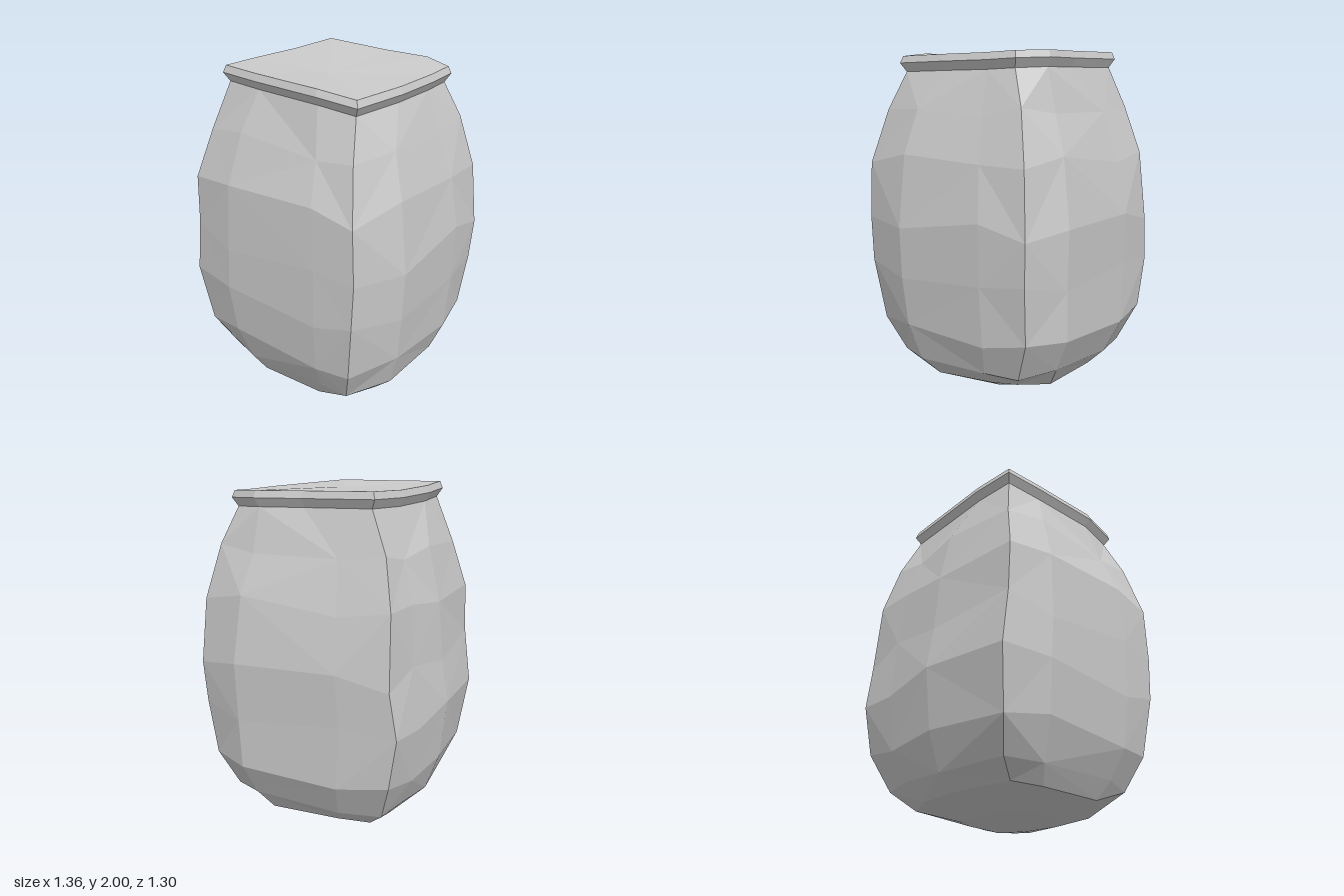
import * as THREE from 'three';

// How far each corner is pulled in from the sides [x, z]
const CORNER = {
  rightFront: [0.06, 0.055], leftFront: [0.11, 0.04],
  leftBack: [0.065, 0.095], rightBack: [0.05, 0.055],
};

// A ring is an uneven rounded square of 12 points, given as
// [y, right edge, left edge, back edge, front edge, corner amount].
function ringPoints([y, l, r, b, f, c], wobble, seed) {
  const { rightFront, leftFront, leftBack, rightBack } = CORNER;
  const flat = [
    [l + c * rightFront[0], f - c * rightFront[1]], [l * 0.47, f], [r * 0.48, f * 0.98],
    [r - c * leftFront[0], f - c * leftFront[1]], [r, f * 0.43], [r * 0.97, b * 0.43],
    [r - c * leftBack[0], b + c * leftBack[1]], [r * 0.5, b], [l * 0.45, b * 0.975],
    [l + c * rightBack[0], b + c * rightBack[1]], [l * 0.96, b * 0.5], [l, f * 0.08],
  ];
  return flat.map(([x, z], i) => {
    const lift = wobble * Math.sin(i * 2.4 + seed * 1.7);
    return new THREE.Vector3(x, y + lift, z);
  });
}

// Skin a stack of rings from bottom to top, with optional end points.
function loft(rings, bottom, top) {
  const pos = [];
  const tri = (...points) => points.forEach((p) => pos.push(p.x, p.y, p.z));
  const n = rings[0].length;
  const last = rings[rings.length - 1];
  for (let i = 0; i < n; i++) {
    const next = (i + 1) % n;
    if (bottom) tri(bottom, rings[0][next], rings[0][i]);
    for (let j = 0; j < rings.length - 1; j++) {
      const a = rings[j][i], b = rings[j][next];
      const c = rings[j + 1][next], d = rings[j + 1][i];
      // alternate the diagonals for an uneven cloth look
      if ((i + j) % 2) { tri(a, b, c); tri(a, c, d); }
      else { tri(a, b, d); tri(b, c, d); }
    }
    if (top) tri(top, last[i], last[next]);
  }
  const geometry = new THREE.BufferGeometry();
  geometry.setAttribute('position', new THREE.Float32BufferAttribute(pos, 3));
  geometry.computeVertexNormals();
  return geometry;
}

export function createModel() {
  const group = new THREE.Group();
  group.name = 'sack';
  const material = new THREE.MeshStandardMaterial({ color: 0xcccccc, flatShading: true });
  const add = (name, geometry) => {
    const mesh = new THREE.Mesh(geometry, material);
    mesh.name = name;
    group.add(mesh);
  };

  // Irregular rim of the folded top, with the lip and neck derived from it
  const rim = [
    [-0.44, 2, 0.45], [-0.2, 1.995, 0.465], [0.23, 1.99, 0.475],
    [0.46, 1.965, 0.44], [0.49, 1.965, 0.1], [0.485, 1.965, -0.2],
    [0.475, 1.97, -0.39], [0.28, 1.98, -0.47], [0, 1.985, -0.445],
    [-0.42, 1.995, -0.445], [-0.445, 1.985, -0.14], [-0.46, 1.99, 0.2],
  ].map((p) => new THREE.Vector3(...p));
  const offsetRim = (scale, drop) => rim.map(
    (p) => new THREE.Vector3(p.x * scale, p.y - drop, p.z * scale));
  const lip = offsetRim(1.03, 0.04);
  const neck = offsetRim(0.97, 0.09);

  // Bulging body, from the domed base up to the pinched neck
  const body = [
    [0.03, -0.22, 0.27, -0.24, 0.24, 0.8, 0],
    [0.1, -0.46, 0.44, -0.45, 0.47, 1.5, 0.01],
    [0.2, -0.56, 0.565, -0.535, 0.53, 1.2, 0.015],
    [0.4, -0.64, 0.635, -0.63, 0.615, 1.1, 0.025],
    [0.72, -0.68, 0.665, -0.635, 0.65, 0.9, 0.035],
    [1.02, -0.64, 0.68, -0.65, 0.65, 0.9, 0.045],
    [1.38, -0.61, 0.635, -0.595, 0.635, 0.6, 0.035],
    [1.65, -0.54, 0.56, -0.515, 0.545, 0.5, 0.025],
  ].map((ring, i) => ringPoints(ring, ring[6], i));
  add('body', loft([...body, neck], new THREE.Vector3(0.14, 0, 0), null));

  // Overhanging folded lip and the slightly sunken top
  add('foldedTop', loft([neck, lip, rim], null, new THREE.Vector3(0.05, 1.97, 0.15)));

  return group;
}
